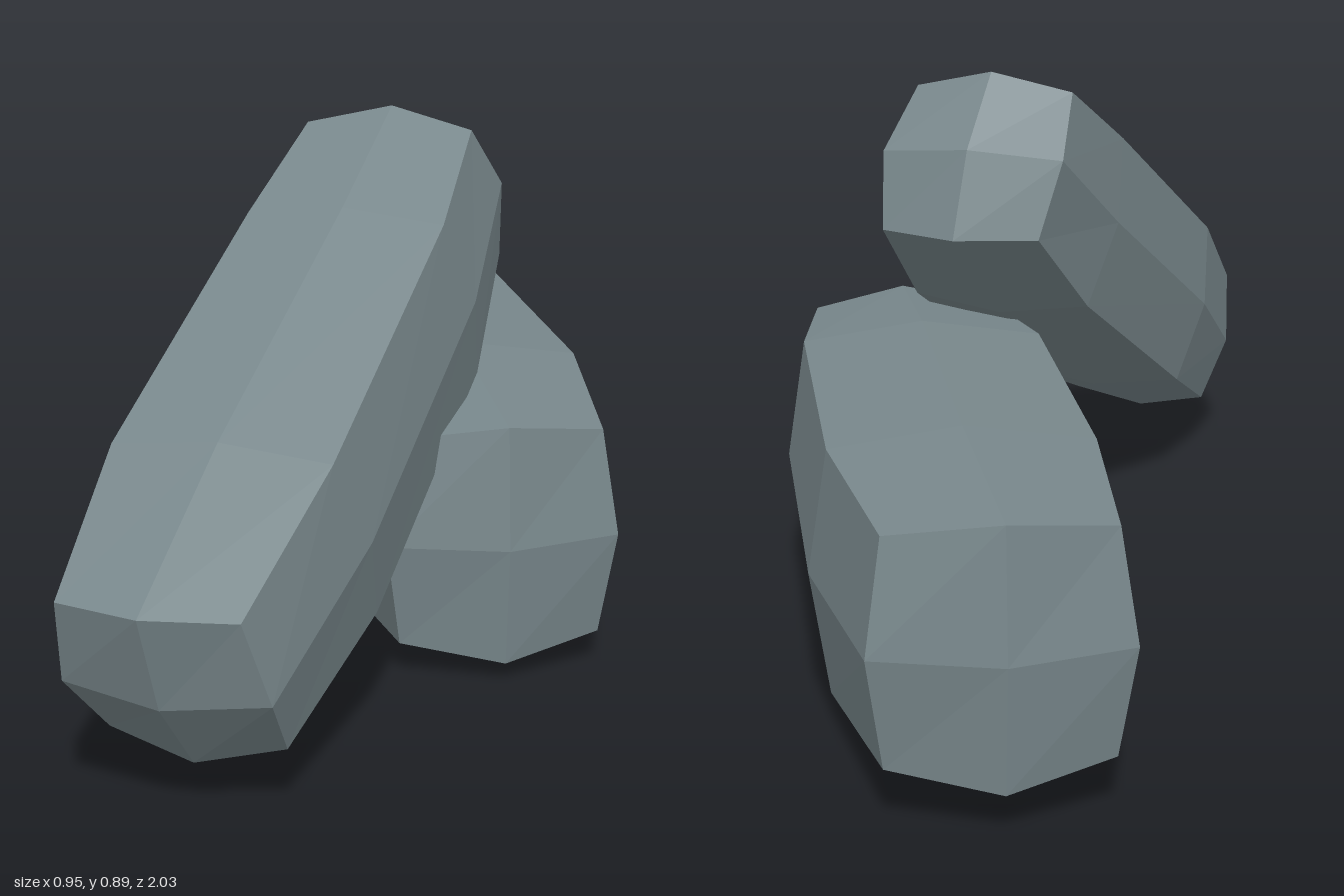
import * as THREE from 'three';

const stoneGrey = new THREE.MeshStandardMaterial({ color: 0x78878b });
stoneGrey.name = 'stoneGrey';

// A rough, faceted slab: a 2 x 2 x 3 box whose rings are resized one by one.
// Each ring is [distance along length, centre across, centre up, half width, half height].
function makeStone(name, rings, across, up, along, shear, bulge) {
  const box = new THREE.BoxGeometry(2, 2, 3, 2, 2, 3);
  const pos = box.attributes.position;
  for (let n = 0; n < pos.count; n++) {
    const i = Math.round(pos.getX(n));
    const j = Math.round(pos.getY(n));
    const k = Math.round(pos.getZ(n) + 1.5);
    const [d, cx, cy, hw, hh] = rings[k];
    const corner = i !== 0 && j !== 0;
    // worn corners across the section
    const x = cx + i * hw * (corner ? 0.87 : 1) + j * shear;
    const y = cy + j * hh * (corner ? 0.87 : 1);
    // domed ends
    const side = k === 0 ? -1 : k === 3 ? 1 : 0;
    const dome = (i === 0 ? bulge[0] : 0) + (j === 0 ? bulge[1] : 0);
    pos.setXYZ(n, x, y, d + side * dome);
  }
  box.applyMatrix4(new THREE.Matrix4().makeBasis(across, up, along));
  // separate faces for hard facets
  const geometry = box.toNonIndexed();
  geometry.computeVertexNormals();
  const mesh = new THREE.Mesh(geometry, stoneGrey);
  mesh.name = name;
  return mesh;
}

export function createModel() {
  const group = new THREE.Group();
  group.name = 'stonePair';
  const v = (x, y, z) => new THREE.Vector3(x, y, z);

  // stone lying flat, turned about the vertical
  group.add(makeStone('lyingStone', [
    [-0.95, 0.13, 0.258, 0.185, 0.192],
    [-0.6, 0.143, 0.245, 0.23, 0.22],
    [0.02, 0.145, 0.235, 0.235, 0.232],
    [0.37, 0.145, 0.235, 0.19, 0.2],
  ], v(0.9, 0, -0.44), v(0, 1, 0), v(0.44, 0, 0.9), 0, [0.05, 0.02]));

  // stone leaning on it, low end to the front
  group.add(makeStone('leaningStone', [
    [-0.345, 0.055, 0.66, 0.162, 0.153],
    [-0.1, 0.046, 0.638, 0.186, 0.182],
    [0.42, 0.002, 0.63, 0.194, 0.182],
    [0.705, -0.018, 0.633, 0.156, 0.155],
  ], v(1, 0, 0), v(0, 0.88, 0.47), v(0, -0.47, 0.88), -0.01, [0.03, 0.03]));

  return group;
}
